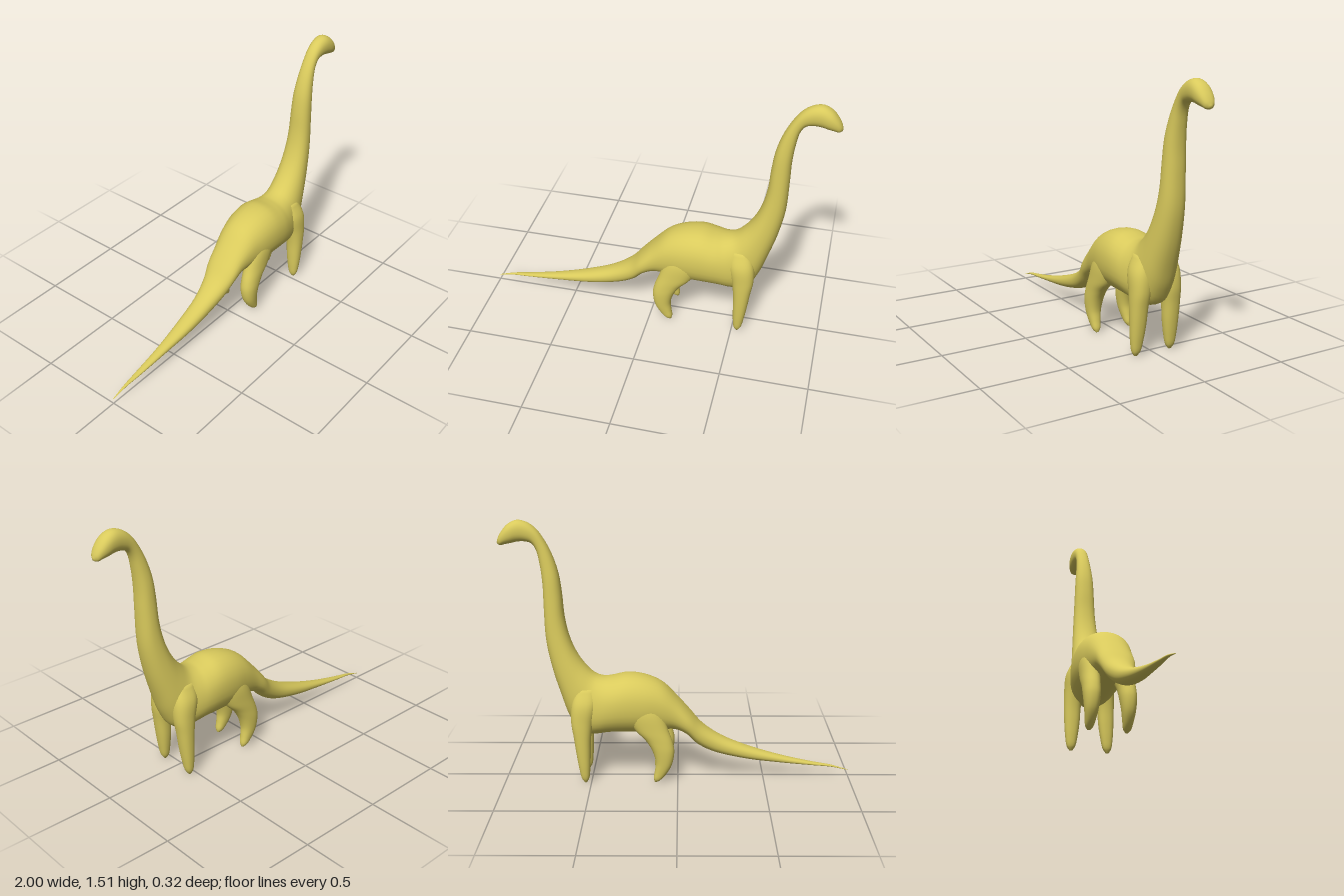
import * as THREE from 'three';

const skin = new THREE.MeshStandardMaterial({ color: 0xd9ca5c, roughness: 0.8 });

// Lofts smooth oval rings through sections [ax, ay, bx, by, halfWidth, zCentre]:
// a and b are opposite rim points in the xy plane.
function loft(name, sections, side = 1, steps = 5, sides = 32, power = 0.9) {
  const a = new THREE.CatmullRomCurve3(sections.map(s => new THREE.Vector3(s[0], s[1], s[4])));
  const b = new THREE.CatmullRomCurve3(sections.map(s => new THREE.Vector3(s[2], s[3], side * (s[5] || 0))));
  const rings = (sections.length - 1) * steps;
  const pos = [], index = [];
  const soft = v => Math.sign(v) * Math.abs(v) ** power;
  for (let i = 0; i <= rings; i++) {
    const p = a.getPoint(i / rings), q = b.getPoint(i / rings);
    const cx = (p.x + q.x) / 2, cy = (p.y + q.y) / 2;
    for (let j = 0; j < sides; j++) {
      const t = j / sides * Math.PI * 2, c = soft(Math.cos(t));
      pos.push(cx + (p.x - cx) * c, cy + (p.y - cy) * c, q.z + p.z * soft(Math.sin(t)));
      if (i === rings) continue;
      const k = i * sides, n = (j + 1) % sides;
      index.push(k + j, k + n, k + sides + j, k + n, k + sides + n, k + sides + j);
    }
  }
  // end caps
  for (const [s, k] of [[sections[0], 0], [sections.at(-1), rings * sides]]) {
    const centre = pos.length / 3;
    pos.push((s[0] + s[2]) / 2, (s[1] + s[3]) / 2, side * (s[5] || 0));
    for (let j = 0; j < sides; j++) {
      const n = (j + 1) % sides;
      index.push(centre, k + (k ? j : n), k + (k ? n : j));
    }
  }
  const geo = new THREE.BufferGeometry();
  geo.setAttribute('position', new THREE.Float32BufferAttribute(pos, 3));
  geo.setIndex(index);
  geo.computeVertexNormals();
  const mesh = new THREE.Mesh(geo, skin);
  mesh.name = name;
  return mesh;
}

// top and bottom outline points with half width, tail tip to snout
const tail = [
  [-1, 0.036, -1, 0.033, 0.002],
  [-0.9, 0.066, -0.9, 0.054, 0.009],
  [-0.8, 0.083, -0.8, 0.064, 0.017],
  [-0.6, 0.127, -0.59, 0.085, 0.031],
  [-0.4, 0.187, -0.385, 0.113, 0.05],
  [-0.25, 0.25, -0.2, 0.16, 0.064],
  [-0.14, 0.325, -0.11, 0.21, 0.083],
  [-0.07, 0.405, -0.05, 0.27, 0.102],
];
const torso = [
  [0.0, 0.485, 0.02, 0.3, 0.111],
  [0.09, 0.575, 0.1, 0.295, 0.13],
  [0.19, 0.619, 0.2, 0.287, 0.15],
  [0.29, 0.631, 0.3, 0.287, 0.158],
  [0.37, 0.615, 0.4, 0.283, 0.154],
  [0.42, 0.611, 0.49, 0.27, 0.14],
  [0.475, 0.63, 0.57, 0.285, 0.12],
];
const neckAndHead = [
  [0.535, 0.69, 0.625, 0.375, 0.105],
  [0.585, 0.77, 0.668, 0.5, 0.092],
  [0.62, 0.865, 0.715, 0.66, 0.079],
  [0.64, 0.97, 0.747, 0.83, 0.069],
  [0.65, 1.1, 0.754, 1.02, 0.062],
  [0.665, 1.21, 0.756, 1.15, 0.057],
  [0.695, 1.31, 0.767, 1.26, 0.048],
  [0.735, 1.395, 0.785, 1.345, 0.041],
  [0.78, 1.46, 0.81, 1.382, 0.041],
  [0.83, 1.498, 0.85, 1.393, 0.045],
  [0.885, 1.511, 0.89, 1.391, 0.049],
  [0.935, 1.49, 0.925, 1.383, 0.049],
  [0.972, 1.45, 0.957, 1.377, 0.041],
  [0.992, 1.415, 0.98, 1.371, 0.028],
  [1.0, 1.39, 0.994, 1.376, 0.008],
];

// front and back outline points, half width, distance from the centre line
const hindLeg = [
  [0.25, 0.55, 0.15, 0.54, 0.02, 0.08],
  [0.3, 0.45, 0.09, 0.43, 0.06, 0.085],
  [0.25, 0.33, 0.055, 0.32, 0.054, 0.098],
  [0.185, 0.26, 0.03, 0.25, 0.05, 0.102],
  [0.148, 0.2, 0.02, 0.19, 0.048, 0.104],
  [0.128, 0.13, 0.034, 0.11, 0.04, 0.106],
  [0.132, 0.075, 0.068, 0.05, 0.031, 0.107],
  [0.139, 0.03, 0.1, 0.016, 0.022, 0.108],
  [0.135, 0.006, 0.122, 0.002, 0.008, 0.108],
];
const frontLeg = [
  [0.57, 0.56, 0.47, 0.56, 0.02, 0.085],
  [0.605, 0.47, 0.46, 0.47, 0.058, 0.088],
  [0.61, 0.37, 0.485, 0.36, 0.056, 0.096],
  [0.597, 0.28, 0.498, 0.27, 0.05, 0.102],
  [0.584, 0.18, 0.502, 0.17, 0.045, 0.104],
  [0.57, 0.09, 0.506, 0.085, 0.036, 0.107],
  [0.557, 0.03, 0.513, 0.027, 0.025, 0.109],
  [0.54, 0.002, 0.526, 0.002, 0.009, 0.11],
];

export function createModel() {
  const group = new THREE.Group();
  group.name = 'longNeckedDinosaur';
  group.add(loft('body', [...tail, ...torso, ...neckAndHead]));
  for (const [label, side] of [['Near', 1], ['Far', -1]]) {
    group.add(loft('hindLeg' + label, hindLeg, side));
    group.add(loft('frontLeg' + label, frontLeg, side));
  }
  return group;
}
